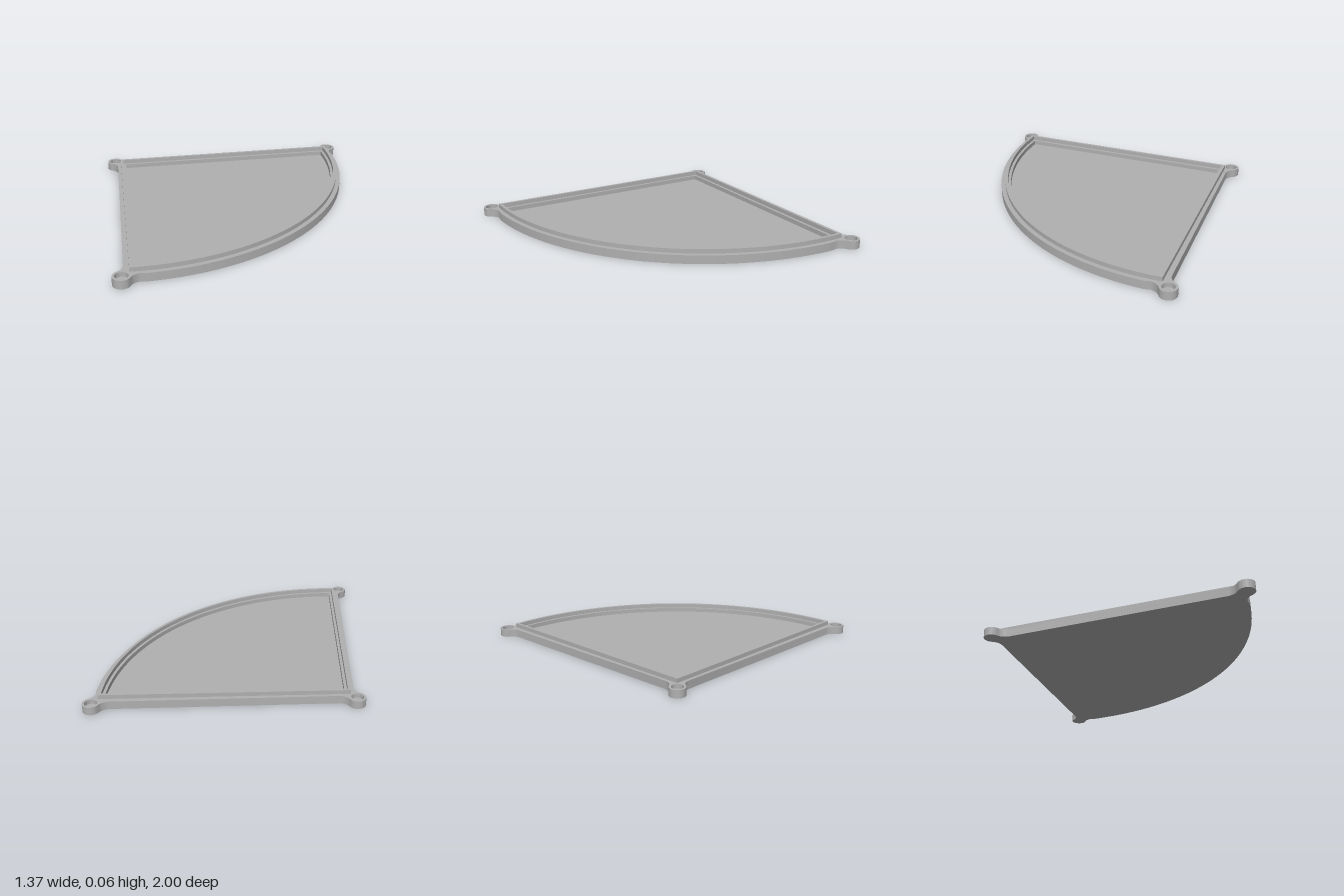
import * as THREE from 'three';
import { toCreasedNormals } from 'three/addons/utils/BufferGeometryUtils.js';

const HALF = THREE.MathUtils.degToRad(46.4); // half angle of the fan
const APEX = -0.629, ARC_X = -0.6, ARC_R = 1.283;
const BOSS_R = 0.043, HOLE_R = 0.031;
const FLOOR_Y = 0.02, RIM_Y = 0.043, RIDGE_Y = 0.065;

// Corner bosses: centre and the direction pointing into the tray
const bosses = [
  { x: -0.64, y: 0, inward: 0 },
  { x: 0.265, y: -0.957, inward: Math.PI / 2 },
  { x: 0.265, y: 0.957, inward: -Math.PI / 2 },
];

// Points on the curved side between two angles
function arcPoints(radius, from, to, n = 64) {
  return Array.from({ length: n + 1 }, (_, i) => {
    const a = from + (to - from) * i / n;
    return new THREE.Vector2(ARC_X + radius * Math.cos(a), radius * Math.sin(a));
  });
}

// Fan outline with sharp corners, inset by d
function fan(d) {
  const apex = APEX + d / Math.sin(HALF), r = ARC_R - d;
  const k = apex - ARC_X, c = Math.cos(HALF);
  const t = -k * c + Math.sqrt(k * k * c * c - k * k + r * r);
  const end = Math.atan2(t * Math.sin(HALF), k + t * c);
  return [new THREE.Vector2(apex, 0), ...arcPoints(r, -end, end)];
}

// Round boss with a filleted neck, traced counter-clockwise
function bossOutline({ x, y, inward }) {
  const pts = [], v = (u, w) => new THREE.Vector2(u, w);
  const neck = new THREE.QuadraticBezierCurve(v(0.068, 0.052), v(0.04, 0.032), v(0.012, 0.0413)).getPoints(8);
  pts.push(...neck);
  const a0 = Math.atan2(0.0413, 0.012);
  for (let i = 1; i < 24; i++) {
    const a = a0 + (2 * Math.PI - 2 * a0) * i / 24;
    pts.push(v(BOSS_R * Math.cos(a), BOSS_R * Math.sin(a)));
  }
  pts.push(...neck.slice().reverse().map(p => v(p.x, -p.y)));
  return pts.map(p => p.rotateAround(v(0, 0), inward).add(v(x, y)));
}

function trayOutline() {
  const [apex, low, high] = bosses.map(bossOutline);
  const p = low[low.length - 1];
  const end = Math.atan2(-p.y, p.x - ARC_X);
  return [...apex, ...low, ...arcPoints(ARC_R, -end, end).slice(1, -1), ...high];
}

// Upright slab between two heights
function slab(name, outline, holes, y0, y1, material) {
  const shape = new THREE.Shape(outline);
  shape.holes = holes.map(h => new THREE.Path(h));
  let g = new THREE.ExtrudeGeometry(shape, { depth: y1 - y0, bevelEnabled: false });
  g.rotateX(-Math.PI / 2).translate(0, y0, 0);
  g = toCreasedNormals(g, 0.5);
  const mesh = new THREE.Mesh(g, material);
  mesh.name = name;
  return mesh;
}

export function createModel() {
  const grey = new THREE.MeshStandardMaterial({ color: 0xb0b0b0 });
  grey.name = 'grey plastic';
  const group = new THREE.Group();
  group.name = 'fanTray';

  const bossHoles = bosses.map(b =>
    new THREE.Path().absarc(b.x, b.y, HOLE_R, 0, Math.PI * 2).getPoints(32).slice(0, -1));

  group.add(
    // Closed bottom, also the base of the blind boss holes
    slab('floor', trayOutline(), [], 0, FLOOR_Y, grey),
    // Wall with corner bosses
    slab('rim', trayOutline(), [fan(0.053), ...bossHoles], FLOOR_Y, RIM_Y, grey),
    // Narrow raised lip on the wall
    slab('ridge', fan(0.023), [fan(0.038)], RIM_Y, RIDGE_Y, grey),
  );
  return group;
}
